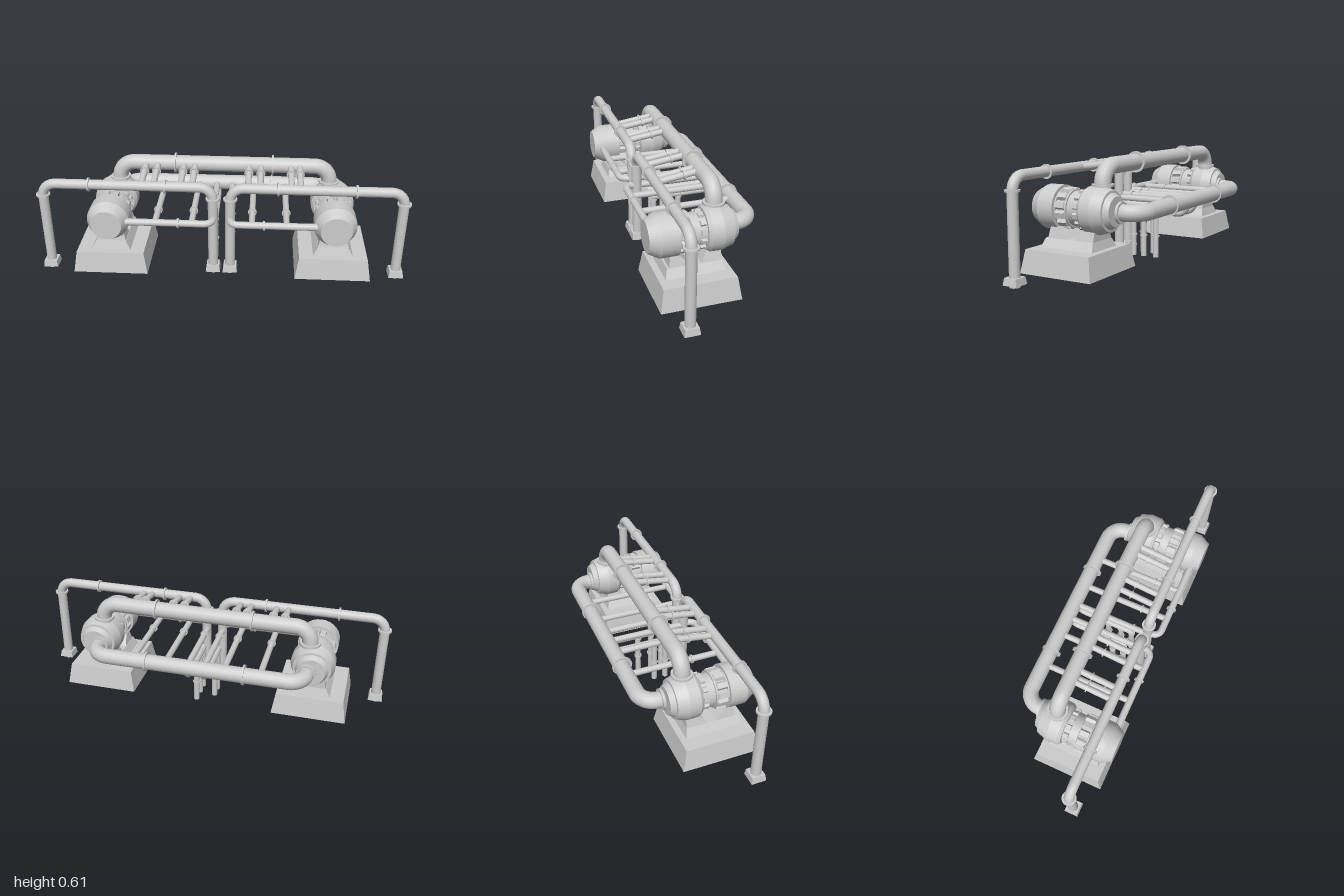
import * as THREE from 'three';

const mat = new THREE.MeshStandardMaterial({ color: 0xcccccc });
const flat = new THREE.MeshStandardMaterial({ color: 0xcccccc, flatShading: true });
const V = (x, y, z) => new THREE.Vector3(x, y, z);

function add(parent, name, geo, material = mat) {
  const m = new THREE.Mesh(geo, material);
  m.name = name;
  parent.add(m);
  return m;
}

// Straight capped cylinder between two points
function rod(parent, name, a, b, r, sides = 16) {
  const d = b.clone().sub(a);
  const m = add(parent, name, new THREE.CylinderGeometry(r, r, d.length(), sides));
  m.position.copy(a).add(b).multiplyScalar(0.5);
  m.quaternion.setFromUnitVectors(V(0, 1, 0), d.normalize());
  return m;
}

// Short collar around a pipe, centred at p and facing along dir
function collar(parent, p, dir, r, thick = 0.01) {
  const h = dir.clone().normalize().multiplyScalar(thick / 2);
  return rod(parent, 'collar', p.clone().sub(h), p.clone().add(h), r, 20);
}

// Pipe through the points with rounded corners
function pipe(parent, name, pts, r, bend) {
  const path = new THREE.CurvePath();
  let from = pts[0];
  for (let i = 1; i < pts.length - 1; i++) {
    const c = pts[i];
    const a = c.clone().add(pts[i - 1].clone().sub(c).setLength(bend));
    const b = c.clone().add(pts[i + 1].clone().sub(c).setLength(bend));
    path.add(new THREE.LineCurve3(from, a));
    // Cubic close to a circular arc
    path.add(new THREE.CubicBezierCurve3(a, a.clone().lerp(c, 0.55), b.clone().lerp(c, 0.55), b));
    from = b;
  }
  path.add(new THREE.LineCurve3(from, pts[pts.length - 1]));
  return add(parent, name, new THREE.TubeGeometry(path, 100, r, 18));
}

// Block whose top differs from its base: [x0, x1, z0, z1] at y0 and y1
function taper(parent, name, y0, base, y1, top) {
  const g = new THREE.BoxGeometry(1, 1, 1);
  const p = g.attributes.position;
  for (let i = 0; i < p.count; i++) {
    const up = p.getY(i) > 0;
    const s = up ? top : base;
    p.setXYZ(i, s[p.getX(i) > 0 ? 1 : 0], up ? y1 : y0, s[p.getZ(i) > 0 ? 3 : 2]);
  }
  g.computeVertexNormals();
  return add(parent, name, g, flat);
}

// Turned body along z from [z, radius] pairs listed back to front
function turned(parent, name, profile) {
  for (let i = 0; i < profile.length - 1; i++) {
    const [[z0, r0], [z1, r1]] = [profile[i], profile[i + 1]];
    const ring = [new THREE.Vector2(r0, z0), new THREE.Vector2(r1, z1)];
    if (i === 0) ring.unshift(new THREE.Vector2(0, z0), ring[0].clone());
    if (i === profile.length - 2) ring.push(ring[ring.length - 1].clone(), new THREE.Vector2(0, z1));
    for (let k = 0; k < ring.length - 1; k++) {
      if (ring[k].equals(ring[k + 1])) continue;
      const m = add(parent, name, new THREE.LatheGeometry([ring[k], ring[k + 1]], 28));
      m.rotation.x = Math.PI / 2;
    }
  }
}

// Ring of tapered blocks around the motor axis
function blocks(parent, name, n, zc, len, r, height, width) {
  for (let i = 0; i < n; i++) {
    const holder = new THREE.Group();
    holder.name = name;
    holder.rotation.z = (i + 0.5) * Math.PI * 2 / n;
    parent.add(holder);
    const w = width / 2, l = len / 2;
    taper(holder, name, r - height, [-w, w, zc - l, zc + l],
      r, [-w * 0.65, w * 0.65, zc - l * 0.72, zc + l * 0.72]);
  }
}

// Motor and pump on a concrete base
function pumpUnit() {
  const unit = new THREE.Group();
  unit.name = 'pumpUnit';
  taper(unit, 'base', 0.035, [-0.205, 0.205, -0.125, 0.29], 0.155, [-0.185, 0.185, -0.105, 0.27]);
  taper(unit, 'plinth', 0.155, [-0.108, 0.108, -0.072, 0.236], 0.2, [-0.082, 0.082, -0.06, 0.222]);
  taper(unit, 'pumpSupport', 0.2, [-0.08, 0.08, -0.06, 0.045], 0.255, [-0.065, 0.065, -0.06, 0.015]);
  taper(unit, 'motorSupport', 0.2, [-0.08, 0.08, 0.1, 0.21], 0.265, [-0.065, 0.065, 0.165, 0.2]);

  const body = new THREE.Group();
  body.name = 'body';
  body.position.y = 0.347;
  unit.add(body);
  turned(body, 'motorHousing', [[0.16, 0.114], [0.25, 0.114], [0.307, 0.083]]);
  turned(body, 'coupling', [[0, 0.088], [0.165, 0.088]]);
  turned(body, 'pumpCasing', [[-0.147, 0.075], [-0.12, 0.09], [-0.119, 0.103],
    [-0.06, 0.121], [0, 0.119], [0.017, 0.106]]);
  blocks(body, 'coolingRib', 12, 0.125, 0.07, 0.104, 0.025, 0.044);
  for (const z of [0.157, 0.093]) {
    collar(body, V(0, 0, z), V(0, 0, 1), 0.098, 0.008);
  }
  blocks(body, 'couplingLug', 12, 0.036, 0.036, 0.1, 0.025, 0.034);
  return unit;
}

export function createModel() {
  const model = new THREE.Group();
  model.name = 'pumpStation';
  const X = V(1, 0, 0), Y = V(0, 1, 0), Z = V(0, 0, 1);

  for (const s of [-1, 1]) {
    const unit = pumpUnit();
    unit.position.x = s * 0.61;
    model.add(unit);

    // Front pipe frame with feet
    pipe(model, 'frontPipe', [V(s * 0.963, 0.03, 0.196), V(s * 0.963, 0.534, 0.196),
      V(s * 0.047, 0.534, 0.196), V(s * 0.047, 0.03, 0.196)], 0.027, 0.07);
    for (const x of [0.963, 0.047]) {
      collar(model, V(s * x, 0.468, 0.196), Y, 0.038);
      const foot = taper(model, 'foot', 0.025, [-0.04, 0.04, -0.04, 0.04], 0.061, [-0.035, 0.035, -0.035, 0.035]);
      foot.position.set(s * x, 0, 0.196);
      rod(model, 'footStub', V(s * x, 0.013, 0.196), V(s * x, 0.06, 0.196), 0.027);
    }
    for (const x of [0.71, 0.3]) collar(model, V(s * x, 0.534, 0.196), X, 0.037);

    // Thin bar from the motor to the inner leg
    pipe(model, 'frontBar', [V(s * 0.56, 0.35, 0.262), V(s * 0.047, 0.35, 0.262),
      V(s * 0.047, 0.35, 0.18)], 0.019, 0.045);
    collar(model, V(s * 0.23, 0.35, 0.262), X, 0.027);

    // Collars on the large pipes
    collar(model, V(s * 0.585, 0.468, -0.05), Y, 0.056, 0.012);
    collar(model, V(s * 0.585, 0.34, -0.157), Z, 0.055, 0.014);
    collar(model, V(s * 0.27, 0.558, -0.05), X, 0.056);
    collar(model, V(s * 0.27, 0.34, -0.25), X, 0.055);

    // Drain running under the pumps, with a bend up into the rear pipe
    pipe(model, 'drainPipe', [V(s * 0.045, 0.33, -0.245), V(s * 0.045, 0.262, -0.225),
      V(s * 0.045, 0.262, 0.11)], 0.018, 0.04);
  }

  // Large pipes joining the two pumps
  pipe(model, 'upperPipe', [V(-0.585, 0.42, -0.05), V(-0.585, 0.558, -0.05),
    V(0.585, 0.558, -0.05), V(0.585, 0.42, -0.05)], 0.043, 0.085);
  pipe(model, 'rearPipe', [V(-0.585, 0.34, -0.13), V(-0.585, 0.34, -0.255),
    V(0.585, 0.34, -0.255), V(0.585, 0.34, -0.13)], 0.043, 0.085);

  // Sloping links between the front pipes and the upper pipe
  for (const x of [-0.43, -0.365, -0.22, -0.158, 0.14, 0.205, 0.37, 0.418]) {
    const a = V(x, 0.532, 0.19), b = V(x, 0.565, -0.04);
    rod(model, 'upperLink', a, b, 0.017);
    collar(model, a.clone().lerp(b, 0.61), b.clone().sub(a), 0.025, 0.007);
  }

  // Level links between the rear pipe and the front bars
  for (const x of [-0.355, -0.158, -0.05, 0.04, 0.165, 0.35]) {
    rod(model, 'lowerLink', V(x, 0.345, -0.24), V(x, 0.345, Math.abs(x) < 0.1 ? 0.196 : 0.262), 0.017);
    collar(model, V(x, 0.345, 0.11), Z, 0.024, 0.008);
  }

  // Drain stand pipes
  for (const [x, z] of [[0.045, -0.045], [0.045, 0.034], [0.045, 0.1], [-0.045, 0.022], [-0.045, 0.09]]) {
    rod(model, 'standPipe', V(x, 0, z), V(x, 0.262, z), 0.016);
    collar(model, V(x, 0.244, z), Y, 0.021, 0.008);
    collar(model, V(x, 0.12, z), Y, 0.021, 0.008);
  }
  return model;
}
